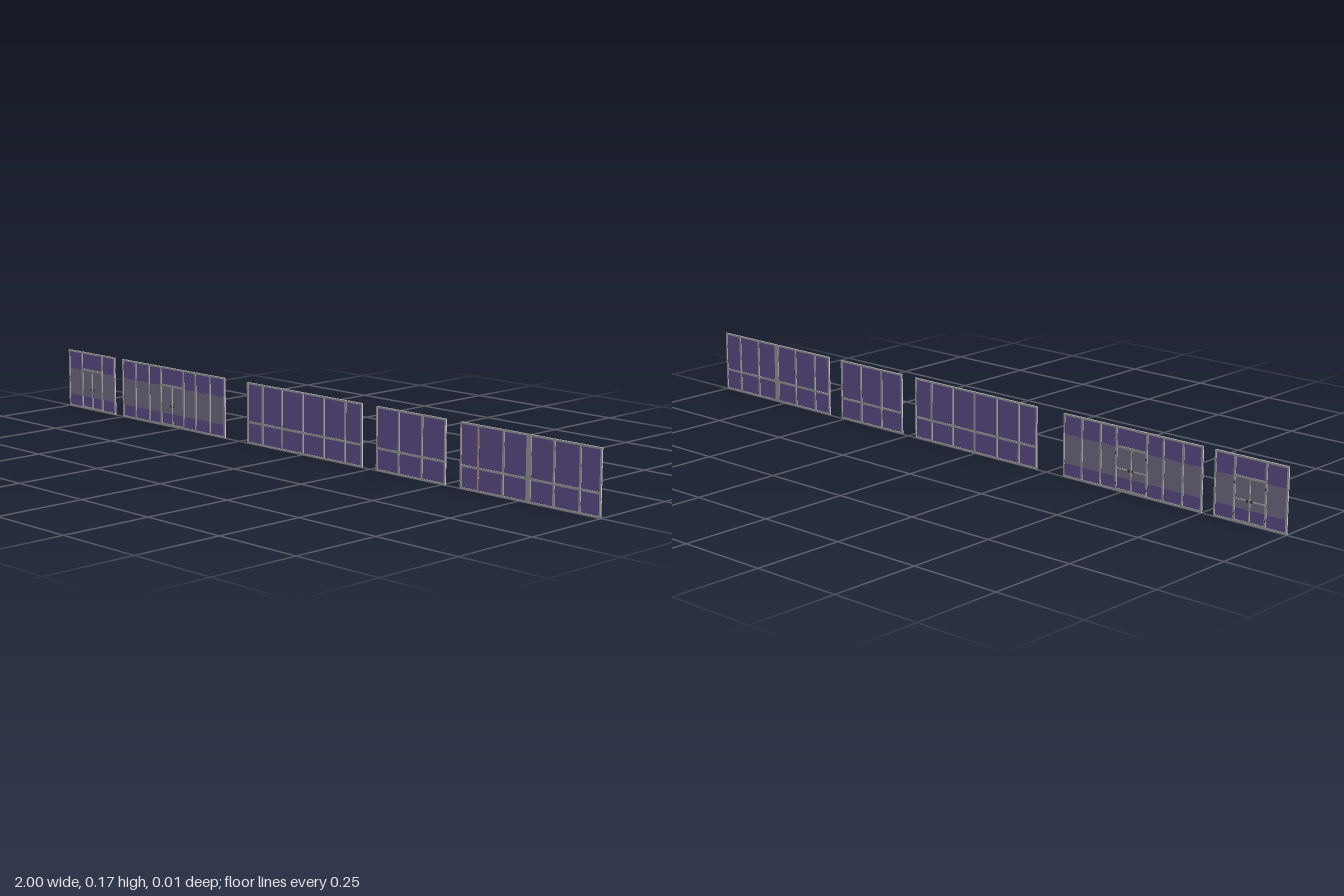
import * as THREE from 'three';

const H = 0.17, Z0 = -0.001, Z1 = 0.003, BAR = 0.006;
const ZM = (Z0 + Z1) / 2, DEPTH = Z1 - Z0;

const metal = new THREE.MeshStandardMaterial({ color: 0xcccccc });
const glass = new THREE.MeshStandardMaterial({ color: 0x7f6bb8 });
const frosted = new THREE.MeshStandardMaterial({ color: 0x9c93b2 });
const dark = new THREE.MeshStandardMaterial({ color: 0x444444 });
const red = new THREE.MeshStandardMaterial({ color: 0xb02030 });

// Box given by its corners
function slab(parent, name, x0, x1, y0, y1, z0, z1, material) {
  const mesh = new THREE.Mesh(new THREE.BoxGeometry(x1 - x0, y1 - y0, z1 - z0), material);
  mesh.position.set((x0 + x1) / 2, (y0 + y1) / 2, (z0 + z1) / 2);
  mesh.name = name;
  parent.add(mesh);
}

function vertical(parent, name, x, y0, y1, width = BAR) {
  slab(parent, name, x - width / 2, x + width / 2, y0, y1, Z0, Z1, metal);
}

function horizontal(parent, name, x0, x1, y, width = BAR) {
  slab(parent, name, x0, x1, y - width / 2, y + width / 2, Z0 + 0.0002, Z1 - 0.0002, metal);
}

// Double door with meeting stile, push bars, handles and hinges
function addDoor(parent, x0, x1) {
  const door = new THREE.Group();
  door.name = 'doubleDoor';
  const top = 0.117, mid = (x0 + x1) / 2;
  horizontal(door, 'doorHead', x0, x1, top);
  horizontal(door, 'doorSill', x0, x1, 0.004);
  vertical(door, 'meetingStile', mid, 0, top, 0.004);
  for (const side of [-1, 1]) {
    const hx = mid + side * 0.006;
    const outer = side < 0 ? x0 : x1;
    slab(door, 'pushBar', Math.min(mid, outer), Math.max(mid, outer), 0.0585, 0.0615, Z0 - 0.0006, ZM, metal);
    slab(door, 'handle', hx - 0.003, hx + 0.003, 0.057, 0.063, Z0 - 0.002, Z1 + 0.0002, dark);
    for (const y of [0.02, 0.1])
      slab(door, 'hinge', outer - 0.0015, outer + 0.0015, y - 0.003, y + 0.003, Z0 - 0.0015, ZM, dark);
  }
  parent.add(door);
}

// Framed glass wall section: x range, mullion positions, rail or frosted band with door
function buildSection({ x0, x1, mullions, rail, door, wide }) {
  const g = new THREE.Group();
  g.name = 'glassWallSection';
  const gz0 = ZM - 0.0005, gz1 = ZM + 0.0005;
  slab(g, 'glassPane', x0, x1, 0.001, H - 0.001, gz0, gz1, glass);
  if (door) slab(g, 'frostedBand', x0, x1, 0.037, 0.115, gz0 - 0.0002, gz1 + 0.0002, frosted);

  // Outer frame
  const e = 0.005;
  slab(g, 'topRail', x0, x1, H - e, H, Z0, Z1, metal);
  slab(g, 'bottomRail', x0, x1, 0, e, Z0, Z1, metal);
  slab(g, 'endPost', x0, x0 + e, e, H - e, Z0, Z1, metal);
  slab(g, 'endPost', x1 - e, x1, e, H - e, Z0, Z1, metal);

  for (const x of mullions) vertical(g, 'mullion', x, e, H - e, x === wide ? 0.016 : BAR);
  if (rail) horizontal(g, 'middleRail', x0 + e, x1 - e, 0.06);
  if (door) addDoor(g, door[0], door[1]);
  return g;
}

export function createModel() {
  const model = new THREE.Group();
  model.name = 'glassWall';
  const sections = [
    { x0: -1, x1: -0.785, mullions: [-0.937, -0.845], door: [-0.937, -0.845] },
    { x0: -0.75, x1: -0.307, mullions: [-0.69, -0.63, -0.578, -0.481, -0.43, -0.369], door: [-0.578, -0.481] },
    { x0: -0.217, x1: 0.222, mullions: [-0.155, -0.078, 0.002, 0.081, 0.16], rail: true },
    { x0: 0.272, x1: 0.512, mullions: [0.352, 0.432], rail: true },
    { x0: 0.56, x1: 1, mullions: [0.62, 0.7, 0.78, 0.858, 0.937], rail: true, wide: 0.78 },
  ];
  for (const s of sections) model.add(buildSection(s));

  // Red edge strips, one facing each side of the glass
  slab(model, 'redStrip', 0.6228, 0.6236, 0.005, H - 0.005, ZM, Z1 - 0.0001, red);
  slab(model, 'redStrip', 0.7028, 0.7036, 0.005, H - 0.005, Z0 + 0.0001, ZM, red);
  return model;
}
